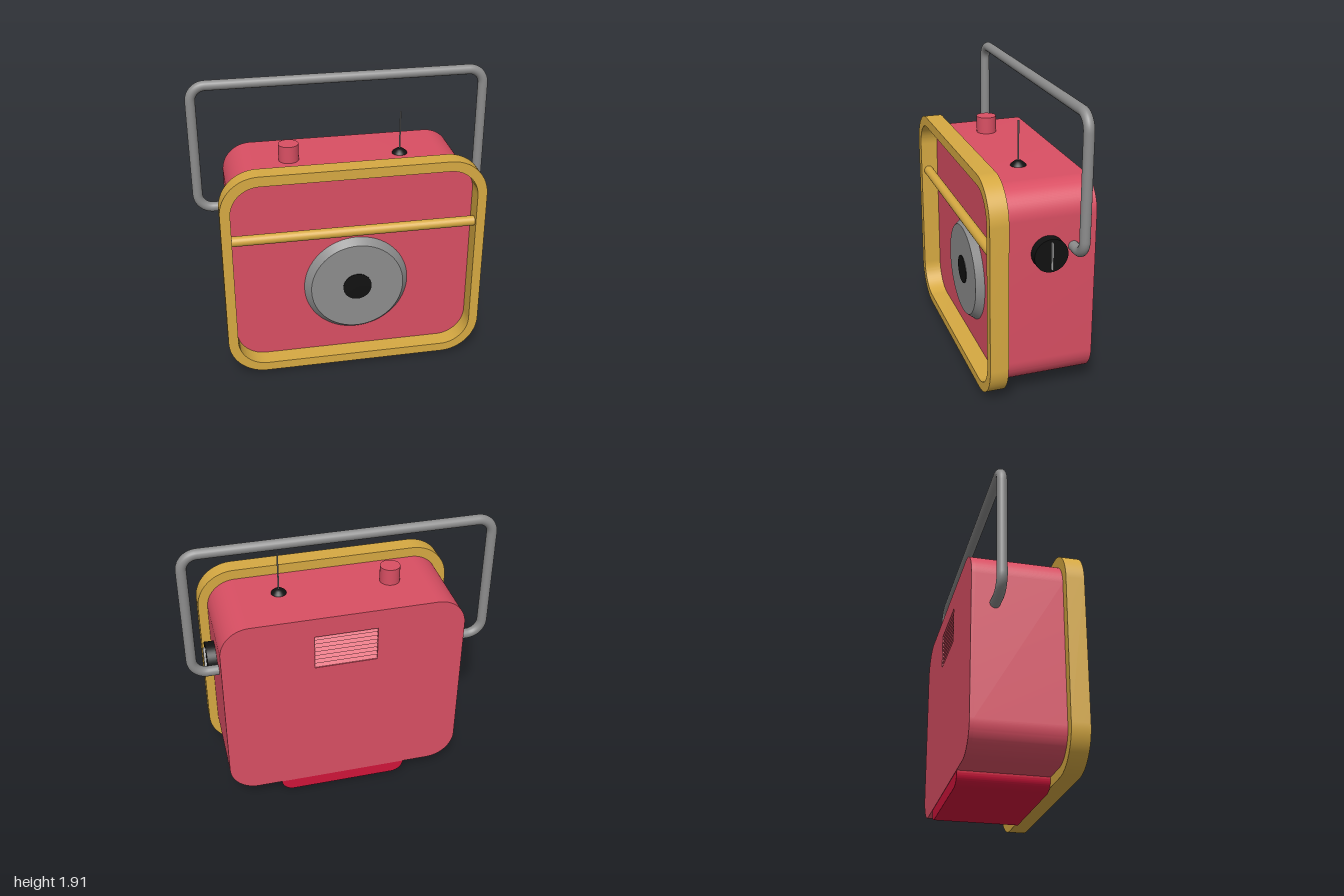
import * as THREE from 'three';
import { toCreasedNormals } from 'three/addons/utils/BufferGeometryUtils.js';

const mat = (color) => new THREE.MeshStandardMaterial({ color });
const RED = mat(0xd94f63), DEEP_RED = mat(0xd0143a), GOLD = mat(0xd6a942);
const GREY = mat(0x8c8c8c), BLACK = mat(0x111111), SILVER = mat(0xcccccc);

// Rounded rectangle outline from its edges and corner radius
function roundedRect(x0, x1, y0, y1, r, Type = THREE.Shape) {
  const s = new Type();
  s.absarc(x1 - r, y0 + r, r, -Math.PI / 2, 0);
  s.absarc(x1 - r, y1 - r, r, 0, Math.PI / 2);
  s.absarc(x0 + r, y1 - r, r, Math.PI / 2, Math.PI);
  s.absarc(x0 + r, y0 + r, r, Math.PI, Math.PI * 1.5);
  s.closePath();
  return s;
}

// Extrude a shape between two z positions, smooth round its corners
function slab(shape, z0, z1) {
  const g = new THREE.ExtrudeGeometry(shape, { depth: z1 - z0, bevelEnabled: false, curveSegments: 16 });
  return toCreasedNormals(g.translate(0, 0, z0), 0.5);
}

export function createModel() {
  const model = new THREE.Group();
  const add = (name, geometry, material, x = 0, y = 0, z = 0) => {
    const m = new THREE.Mesh(geometry, material);
    m.name = name;
    m.position.set(x, y, z);
    model.add(m);
    return m;
  };

  // Case, with a back panel cut open for the vent
  const outline = (Type) => roundedRect(-0.785, 0.8, 0.083, 1.405, 0.19, Type);
  add('body', slab(outline(), -0.32, 0.228), RED);
  const back = outline();
  const vent = { x: 0.206, y0: 1.03, y1: 1.27, count: 8 };
  back.holes.push(new THREE.Path([
    new THREE.Vector2(-vent.x, vent.y0), new THREE.Vector2(-vent.x, vent.y1),
    new THREE.Vector2(vent.x, vent.y1), new THREE.Vector2(vent.x, vent.y0),
  ]));
  add('backPanel', slab(back, -0.346, -0.32), RED);

  // Vent louvres: a saw-tooth section run across the opening
  const teeth = new THREE.Shape();
  const pitch = (vent.y1 - vent.y0) / vent.count;
  teeth.moveTo(0.31, vent.y0);
  for (let i = 0; i < vent.count; i++) {
    const y = vent.y0 + i * pitch;
    teeth.lineTo(0.322, y + 0.001);
    teeth.lineTo(0.344, y + 0.004);
    teeth.lineTo(0.322, y + pitch - 0.001);
  }
  teeth.lineTo(0.31, vent.y1);
  teeth.closePath();
  const louvres = new THREE.ExtrudeGeometry(teeth, { depth: vent.x * 2, bevelEnabled: false });
  add('ventLouvres', louvres.rotateY(Math.PI / 2), RED, -vent.x);

  // Front frame and crossbar
  const frame = roundedRect(-0.85, 0.862, 0.022, 1.472, 0.25);
  frame.holes.push(outline(THREE.Path));
  add('frontFrame', slab(frame, 0.228, 0.346), GOLD);
  add('crossbar', new THREE.CylinderGeometry(0.033, 0.033, 1.585, 24).rotateZ(Math.PI / 2), GOLD, 0.0075, 1.012, 0.295);

  // Foot under the case
  add('foot', slab(roundedRect(-0.42, 0.45, 0, 0.18, 0.085), -0.344, 0.227), DEEP_RED);

  // Speaker
  add('speaker', new THREE.CylinderGeometry(0.31, 0.35, 0.05, 64).rotateX(Math.PI / 2), GREY, 0.03, 0.577, 0.253);
  add('speakerCentre', new THREE.CylinderGeometry(0.096, 0.096, 0.02, 40).rotateX(Math.PI / 2), BLACK, 0.03, 0.577, 0.272);

  // Carrying handle: straight runs joined by rounded corners
  const path = new THREE.CurvePath();
  const corners = [[-0.78, 1.018], [-0.967, 1.018], [-0.967, 1.877], [0.967, 1.877], [0.967, 1.018], [0.79, 1.018]]
    .map(([x, y]) => new THREE.Vector3(x, y, 0));
  let from = corners[0];
  for (let i = 1; i < corners.length - 1; i++) {
    const c = corners[i];
    const toward = (p) => c.clone().add(p.clone().sub(c).setLength(0.1));
    const a = toward(corners[i - 1]), b = toward(corners[i + 1]);
    const k = 0.552;
    path.add(new THREE.LineCurve3(from, a));
    path.add(new THREE.CubicBezierCurve3(a, a.clone().lerp(c, k), b.clone().lerp(c, k), b));
    from = b;
  }
  path.add(new THREE.LineCurve3(from, corners[corners.length - 1]));
  add('handle', new THREE.TubeGeometry(path, 300, 0.033, 20), GREY, 0, 0, -0.2);
  for (const end of [corners[0], corners[5]]) {
    add('handleEnd', new THREE.CylinderGeometry(0.033, 0.033, 0.01, 20).rotateZ(Math.PI / 2), GREY, end.x, end.y, -0.2);
  }

  // Side dial with its pointer
  add('dial', new THREE.CylinderGeometry(0.107, 0.107, 0.062, 48).rotateZ(Math.PI / 2), BLACK, 0.83, 1.0, -0.037);
  add('dialPointer', new THREE.BoxGeometry(0.03, 0.176, 0.009), SILVER, 0.861, 1.0, -0.04);

  // Top button
  add('topButton', new THREE.CylinderGeometry(0.066, 0.066, 0.12, 40), RED, -0.37, 1.457, -0.022);

  // Antenna on a low domed base
  const dome = [[0.051, 0], [0.046, 0.01], [0.03, 0.024], [0.018, 0.032], [0, 0.034]]
    .map(([r, y]) => new THREE.Vector2(r, y));
  add('antennaBase', new THREE.LatheGeometry(dome, 32), BLACK, 0.36, 1.404, 0);
  add('antenna', new THREE.CylinderGeometry(0.005, 0.005, 0.27, 12), GREY, 0.36, 1.558, 0);

  return model;
}
